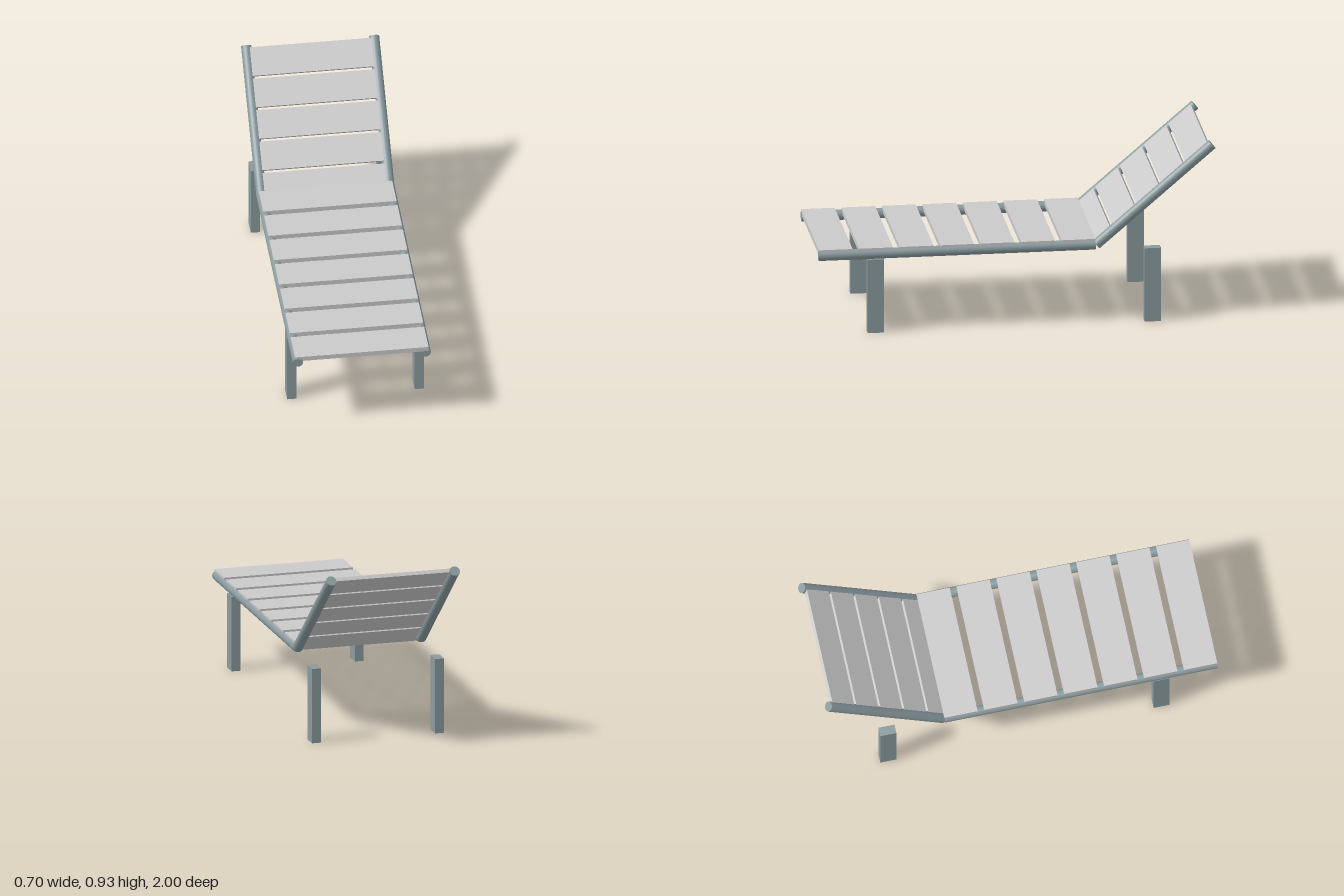
import * as THREE from 'three';

export function createModel() {
  const model = new THREE.Group();
  model.name = 'sunLounger';
  const frame = new THREE.MeshStandardMaterial({ color: 0x8a9a9e });
  frame.name = 'blueGreyFrame';
  const slatGrey = new THREE.MeshStandardMaterial({ color: 0xcacaca });
  slatGrey.name = 'lightGreySlats';

  const railX = 0.322, railY = 0.41, radius = 0.026, hingeZ = -0.395;

  function add(parent, name, geometry, material, x, y, z) {
    const mesh = new THREE.Mesh(geometry, material);
    mesh.name = name;
    mesh.position.set(x, y, z);
    parent.add(mesh);
  }

  // A rail lying along z, from z0 to z1
  function addRail(parent, name, x, z0, z1) {
    const tube = new THREE.CylinderGeometry(radius, radius, z1 - z0, 32).rotateX(Math.PI / 2);
    add(parent, name, tube, frame, x, 0, (z0 + z1) / 2);
  }

  // Flat bed: two rails and seven slats resting on top
  const bed = new THREE.Group();
  bed.name = 'bed';
  bed.position.y = railY;
  model.add(bed);
  const bedSlat = new THREE.BoxGeometry(0.672, 0.025, 0.17);
  for (let i = 0; i < 7; i++) {
    add(bed, 'bedSlat', bedSlat, slatGrey, 0, 0.0205, 0.915 - i * 0.204);
  }

  // Tilted backrest: its local -z runs up along the rails
  const backrest = new THREE.Group();
  backrest.name = 'backrest';
  backrest.position.set(0, railY, -0.4);
  backrest.rotation.x = THREE.MathUtils.degToRad(40.6);
  model.add(backrest);
  const backSlat = new THREE.BoxGeometry(0.65, 0.02, 0.147);
  for (let i = 0; i < 5; i++) {
    add(backrest, 'backSlat', backSlat, slatGrey, 0, 0.0115, -0.036 - i * 0.1615);
  }

  // Rails and legs, mirrored left and right
  const leg = new THREE.BoxGeometry(0.046, 0.385, 0.082);
  for (const side of [-1, 1]) {
    addRail(bed, 'bedRail', side * railX, hingeZ, 1);
    addRail(backrest, 'backRail', side * railX, -0.768, 0);
    add(model, 'frontLeg', leg, frame, side * 0.321, 0.1925, 0.714);
    add(model, 'rearLeg', leg, frame, side * 0.321, 0.1925, -0.682);
  }

  return model;
}
